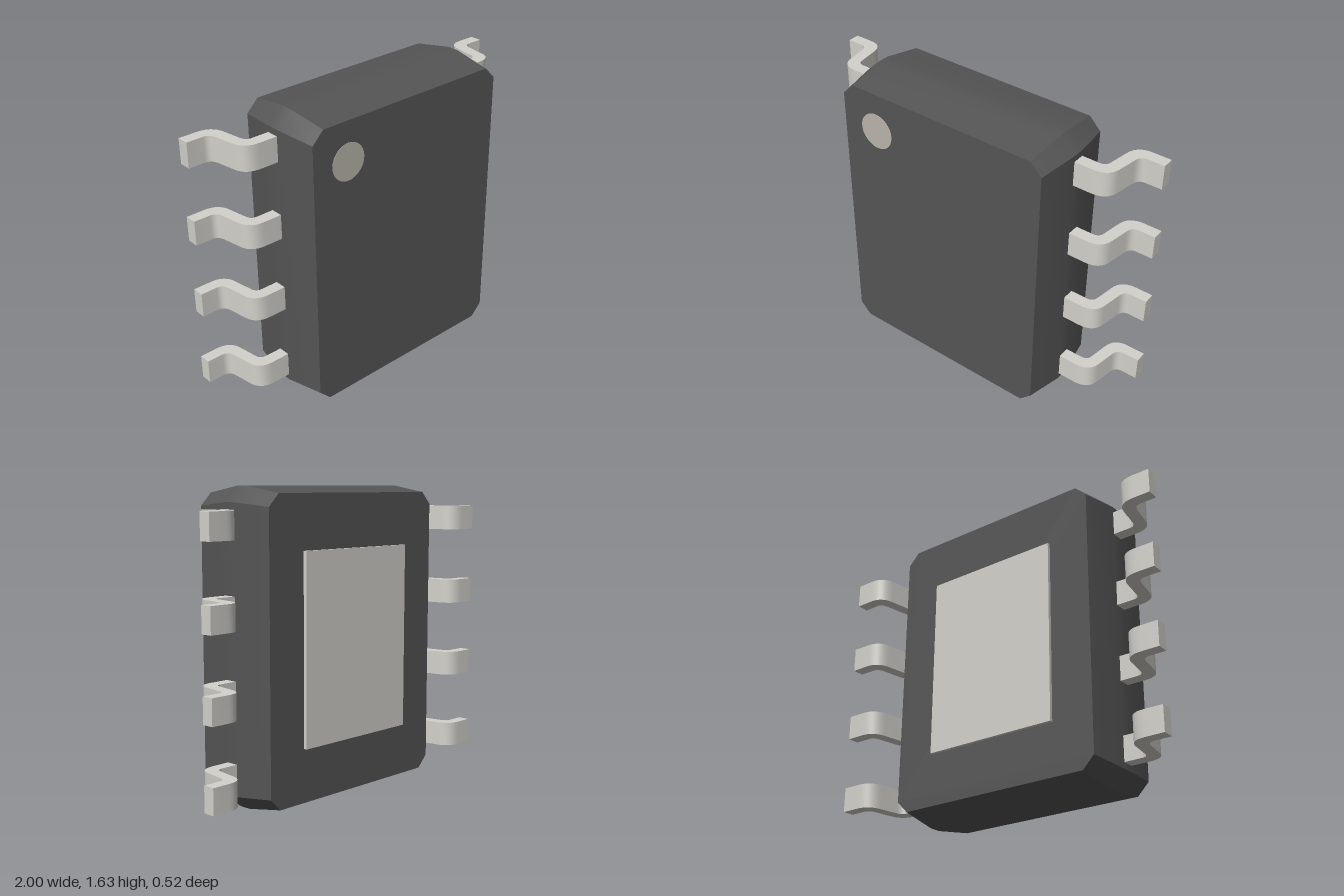
import * as THREE from 'three';
import { toCreasedNormals } from 'three/addons/utils/BufferGeometryUtils.js';

const MID_Y = 0.8175;
const bodyMaterial = new THREE.MeshStandardMaterial({ color: 0x555555 });
const metalMaterial = new THREE.MeshStandardMaterial({ color: 0xd2d1cb });
const dotMaterial = new THREE.MeshStandardMaterial({ color: 0xb9b5aa });

// Chamfered rectangle, counter-clockwise seen from the front
function octagon(a, b, cx, cy, z) {
  return [
    [a, -b + cy], [a, b - cy], [a - cx, b], [-a + cx, b],
    [-a, b - cy], [-a, -b + cy], [-a + cx, -b], [a - cx, -b],
  ].map(([x, y]) => [x, y + MID_Y, z]);
}

// Body: cross-sections from back to front, widest around the lead plane
function bodyGeometry() {
  const rings = [
    octagon(0.615, 0.7825, 0.065, 0.065, -0.242),
    octagon(0.65, 0.8175, 0.085, 0.08, -0.031),
    octagon(0.65, 0.8175, 0.085, 0.08, 0.035),
    octagon(0.615, 0.7825, 0.065, 0.065, 0.255),
  ];
  const pos = [];
  const tri = (a, b, c) => pos.push(...a, ...b, ...c);
  for (let r = 0; r < rings.length - 1; r++) {
    const p = rings[r], q = rings[r + 1];
    for (let i = 0; i < 8; i++) {
      const j = (i + 1) % 8;
      tri(p[i], p[j], q[j]);
      tri(p[i], q[j], q[i]);
    }
  }
  const back = rings[0], front = rings[rings.length - 1];
  for (let i = 1; i < 7; i++) {
    tri(front[0], front[i], front[i + 1]);
    tri(back[0], back[i + 1], back[i]);
  }
  const g = new THREE.BufferGeometry();
  g.setAttribute('position', new THREE.Float32BufferAttribute(pos, 3));
  return toCreasedNormals(g, 0.3);
}

// Lead: gull-wing strip profile (x, -z) extruded along y
function leadGeometry(side) {
  const s = new THREE.Shape();
  const line = (x, y) => s.lineTo(side * x, y);
  const bend = (a, b, x, y) => s.quadraticCurveTo(side * a, b, side * x, y);
  s.moveTo(side * 0.6, -0.035);
  line(0.75, -0.035);
  bend(0.835, -0.035, 0.848, 0.04);
  line(0.865, 0.15);
  bend(0.872, 0.195, 0.91, 0.195);
  line(1, 0.195);
  line(1, 0.26);
  line(0.9, 0.26);
  bend(0.815, 0.26, 0.803, 0.18);
  line(0.786, 0.065);
  bend(0.78, 0.031, 0.745, 0.031);
  line(0.6, 0.031);
  s.closePath();
  const g = new THREE.ExtrudeGeometry(s, { depth: 0.135, bevelEnabled: false, curveSegments: 8 });
  g.translate(0, 0, -0.0675);
  g.rotateX(-Math.PI / 2);
  return toCreasedNormals(g, 0.6);
}

export function createModel() {
  const model = new THREE.Group();
  model.name = 'chipPackage';
  const add = (name, geometry, material, x, y, z) => {
    const mesh = new THREE.Mesh(geometry, material);
    mesh.name = name;
    mesh.position.set(x, y, z);
    model.add(mesh);
    return mesh;
  };

  add('body', bodyGeometry(), bodyMaterial, 0, 0, 0);

  // Pin-one marker on the front face
  add('pinOneDot', new THREE.CylinderGeometry(0.1, 0.1, 0.006, 48), dotMaterial, -0.4, 1.385, 0.254)
    .rotation.x = Math.PI / 2;

  // Exposed metal pad on the back
  add('thermalPad', new THREE.BoxGeometry(0.765, 1, 0.04), metalMaterial, 0, MID_Y, -0.24);

  // Four leads on each side
  for (const side of [-1, 1]) {
    const geometry = leadGeometry(side);
    for (let i = 0; i < 4; i++) {
      add(`${side > 0 ? 'left' : 'right'}Lead${i + 1}`, geometry, metalMaterial,
        0, MID_Y + (i - 1.5) * 0.424, 0);
    }
  }
  return model;
}
